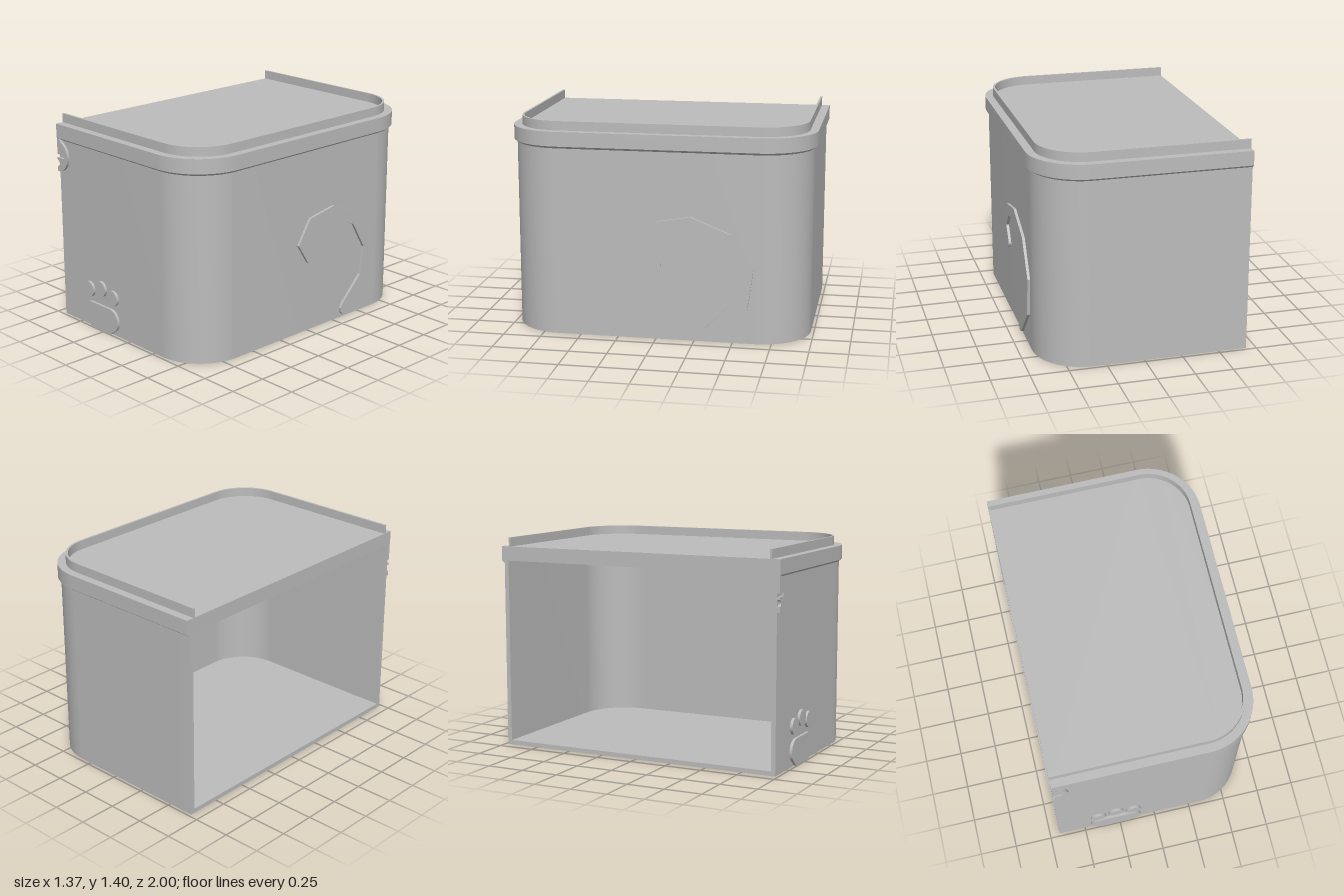
import * as THREE from 'three';
import { toCreasedNormals } from 'three/addons/utils/BufferGeometryUtils.js';

const OPEN_X = -0.685; // cut side of the half box
const CX = 0.33, CZ = 0.65; // centres of the concentric rounded corners

// Half-box footprint whose edges lie r beyond the corner centres
function solid(r) {
  const s = new THREE.Shape();
  s.moveTo(OPEN_X, -CZ - r);
  s.lineTo(CX, -CZ - r);
  s.absarc(CX, -CZ, r, -Math.PI / 2, 0, false);
  s.lineTo(CX + r, CZ);
  s.absarc(CX, CZ, r, 0, Math.PI / 2, false);
  s.lineTo(OPEN_X, CZ + r);
  s.closePath();
  return s;
}

// U-shaped wall footprint between two such outlines, open at the cut side
function wall(outer, inner) {
  const s = new THREE.Shape();
  s.moveTo(OPEN_X, -CZ - outer);
  s.lineTo(CX, -CZ - outer);
  s.absarc(CX, -CZ, outer, -Math.PI / 2, 0, false);
  s.lineTo(CX + outer, CZ);
  s.absarc(CX, CZ, outer, 0, Math.PI / 2, false);
  s.lineTo(OPEN_X, CZ + outer);
  s.lineTo(OPEN_X, CZ + inner);
  s.lineTo(CX, CZ + inner);
  s.absarc(CX, CZ, inner, Math.PI / 2, 0, true);
  s.lineTo(CX + inner, -CZ);
  s.absarc(CX, -CZ, inner, 0, -Math.PI / 2, true);
  s.lineTo(OPEN_X, -CZ - inner);
  s.closePath();
  return s;
}

const extrude = (shape, depth) =>
  new THREE.ExtrudeGeometry(shape, { depth, bevelEnabled: false, curveSegments: 20 });

export function createModel() {
  const group = new THREE.Group();
  const grey = new THREE.MeshStandardMaterial({ color: 0xbcbcbc });
  grey.name = 'grey plastic';

  function add(name, geometry) {
    const mesh = new THREE.Mesh(toCreasedNormals(geometry, 0.5), grey);
    mesh.name = name;
    group.add(mesh);
  }
  // Upright slab standing from y0 to y1
  const slab = (shape, y0, y1) =>
    extrude(shape, y1 - y0).rotateX(-Math.PI / 2).translate(0, y0, 0);

  // Box and lid
  add('walls', slab(wall(0.33, 0.3), 0, 1.25));
  add('floor', slab(solid(0.305), 0, 0.03));
  add('lid', slab(solid(0.35), 1.25, 1.345));
  add('lidRim', slab(wall(0.295, 0.28), 1.345, 1.405));

  // Sloped lip under the lid: pull the lower outer edge in to the wall
  const lip = slab(wall(0.35, 0.32), 1.235, 1.25);
  const p = lip.attributes.position;
  for (let i = 0; i < p.count; i++) {
    const cx = Math.min(p.getX(i), CX);
    const cz = THREE.MathUtils.clamp(p.getZ(i), -CZ, CZ);
    const dx = p.getX(i) - cx, dz = p.getZ(i) - cz;
    if (p.getY(i) < 1.24 && Math.hypot(dx, dz) > 0.34) {
      p.setX(i, cx + dx * 0.33 / 0.35);
      p.setZ(i, cz + dz * 0.33 / 0.35);
    }
  }
  add('lidLip', lip);

  // Raised decorations on the front
  const onFront = (shape) => extrude(shape, 0.025).translate(0, 0, 0.973);
  [[-0.4, 0.262], [-0.277, 0.295], [-0.156, 0.262]].forEach(([x, y], i) => {
    add('pawToe' + (i + 1), onFront(new THREE.Shape().absarc(x, y, 0.053, 0, Math.PI * 2, false)));
  });

  const pad = new THREE.Shape();
  pad.moveTo(-0.375, 0);
  pad.lineTo(-0.18, 0);
  pad.lineTo(-0.128, 0.04);
  pad.quadraticCurveTo(-0.1, 0.063, -0.1, 0.1);
  pad.absarc(-0.18, 0.1, 0.08, 0, Math.PI / 2, false);
  pad.lineTo(-0.375, 0.18);
  pad.absarc(-0.375, 0.1, 0.08, Math.PI / 2, Math.PI, false);
  pad.quadraticCurveTo(-0.455, 0.063, -0.427, 0.04);
  pad.closePath();
  add('pawPad', onFront(pad));

  // Half-round tag with a slot and a round notch at the cut edge
  const tag = new THREE.Shape();
  tag.moveTo(OPEN_X, 1.25);
  tag.lineTo(-0.665, 1.25);
  tag.absarc(OPEN_X, 1.125, 0.105, 1.18, -Math.PI / 2, true);
  tag.lineTo(OPEN_X, 1.055);
  tag.absarc(OPEN_X, 1.076, 0.021, -Math.PI / 2, Math.PI / 2, false);
  tag.lineTo(OPEN_X, 1.115);
  tag.lineTo(-0.617, 1.115);
  tag.lineTo(-0.617, 1.137);
  tag.lineTo(OPEN_X, 1.137);
  tag.closePath();
  add('halfTag', onFront(tag));

  // Hooked tail on the side, drawn as (-z, y)
  const tail = new THREE.Shape([
    [-0.105, 0.62], [-0.02, 0.49], [-0.005, 0.478], [0.015, 0.48], [0.03, 0.492], [0.036, 0.51], [0.03, 0.527],
    [-0.035, 0.62], [0.045, 0.715], [0.215, 0.745], [0.42, 0.65], [0.53, 0.465], [0.5, 0.27],
    [0.325, 0.095], [0.314, 0.07], [0.318, 0.04], [0.338, 0.02], [0.365, 0.013], [0.395, 0.023],
    [0.595, 0.225], [0.63, 0.485], [0.485, 0.72], [0.225, 0.825], [0, 0.785],
  ].map(([u, y]) => new THREE.Vector2(u, y)));
  add('tail', extrude(tail, 0.025).rotateY(Math.PI / 2).translate(0.653, 0, 0));

  return group;
}
